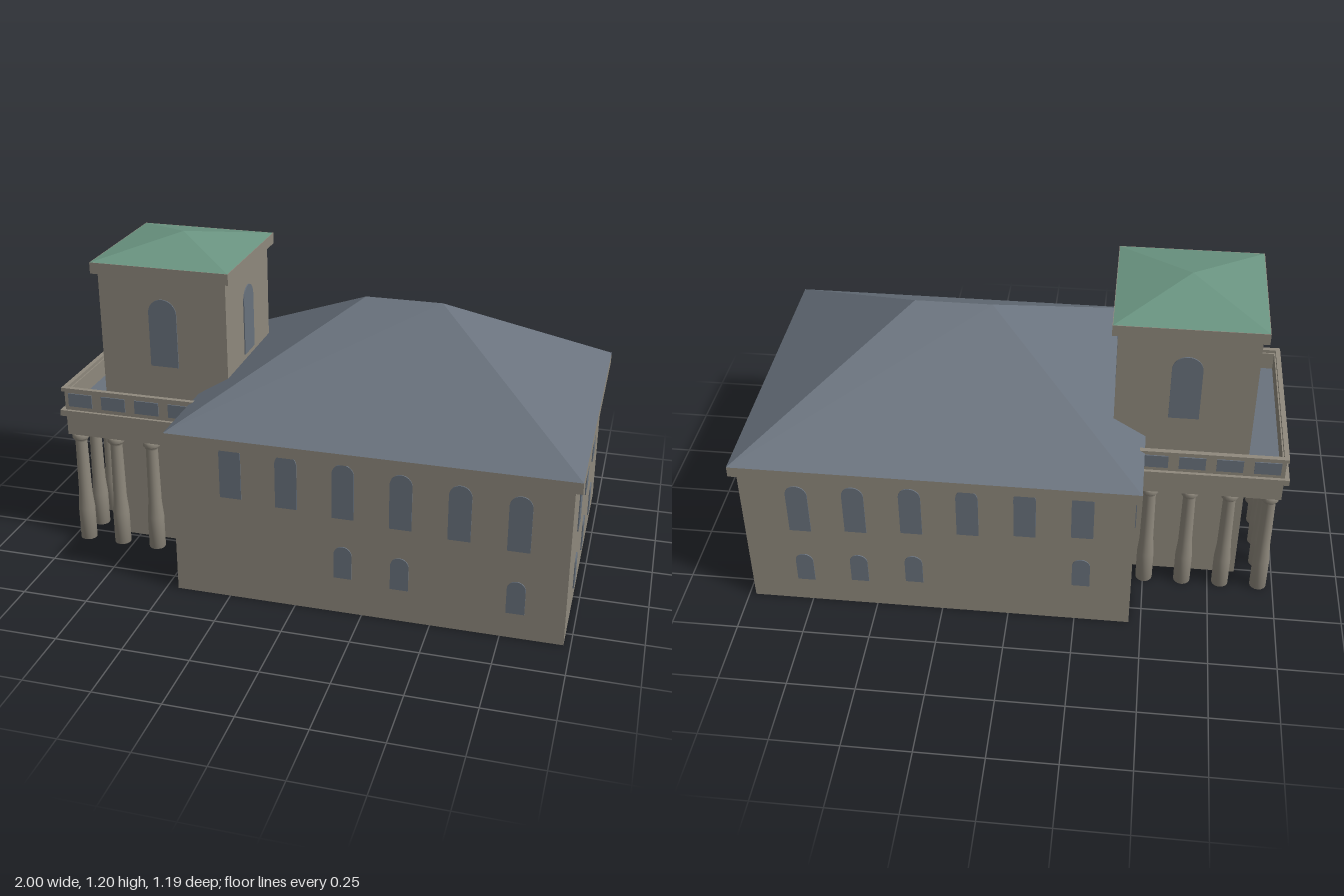
import * as THREE from 'three';

const material = (name, color, side = THREE.FrontSide) => {
  const m = new THREE.MeshStandardMaterial({ color, side });
  m.name = name;
  return m;
};

export function createModel() {
  const stone = material('stone', 0x8f897d, THREE.DoubleSide);
  const slate = material('slate', 0x69727d, THREE.DoubleSide);
  const copper = material('green copper', 0x6a9481);
  const model = new THREE.Group();
  model.name = 'stoneChurch';

  const add = (name, geometry, mat, parent = model) => {
    const mesh = new THREE.Mesh(geometry, mat);
    mesh.name = name;
    parent.add(mesh);
    return mesh;
  };
  const group = (name) => {
    const g = new THREE.Group();
    g.name = name;
    model.add(g);
    return g;
  };

  // Solid block given by its extents
  const blockGeometry = (x0, x1, y0, y1, z0, z1) =>
    new THREE.BoxGeometry(x1 - x0, y1 - y0, z1 - z0)
      .translate((x0 + x1) / 2, (y0 + y1) / 2, (z0 + z1) / 2);
  const block = (name, mat, extents, parent) => add(name, blockGeometry(...extents), mat, parent);

  // Four walls without floor or ceiling
  const walls = (name, extents) => {
    const g = blockGeometry(...extents);
    const index = Array.from(g.index.array);
    g.setIndex([...index.slice(0, 12), ...index.slice(24)]);
    g.clearGroups();
    return add(name, g, stone);
  };

  // Hipped roof with a ridge from r0 to r1 (a pyramid when they are equal)
  const hipRoof = (name, mat, x0, x1, z0, z1, y, r0, r1, top) => {
    const zm = (z0 + z1) / 2;
    const p = [[x0, y, z1], [x1, y, z1], [x1, y, z0], [x0, y, z0], [r0, top, zm], [r1, top, zm]];
    const faces = [[0, 1, 5], [1, 2, 5], [2, 3, 4], [3, 0, 4], [0, 3, 2], [0, 2, 1]];
    if (r0 !== r1) faces.push([0, 5, 4], [2, 4, 5]);
    const g = new THREE.BufferGeometry();
    g.setAttribute('position', new THREE.Float32BufferAttribute(faces.flat().flatMap((i) => p[i]), 3));
    g.computeVertexNormals();
    return add(name, g, mat);
  };

  // Round-headed window plate; x, y, z is the middle of its sill
  const windows = group('windows');
  const archWindow = (name, w, h, x, y, z, turn) => {
    const r = w / 2;
    const s = new THREE.Shape();
    s.moveTo(-r, 0);
    s.lineTo(r, 0);
    s.lineTo(r, h - r);
    s.absarc(0, h - r, r, 0, Math.PI, false);
    s.closePath();
    const g = new THREE.ExtrudeGeometry(s, { depth: 0.004, bevelEnabled: false, curveSegments: 12 });
    const mesh = add(name, g, slate, windows);
    mesh.position.set(x, y, z);
    mesh.rotation.y = turn;
  };

  // Main hall, open underneath
  walls('hallWalls', [-0.455, 0.975, 0, 0.61, -0.575, 0.575]);
  const rect = (Type, x0, x1, z) => new Type([
    new THREE.Vector2(x0, -z), new THREE.Vector2(x1, -z),
    new THREE.Vector2(x1, z), new THREE.Vector2(x0, z),
  ]);
  const ring = rect(THREE.Shape, -0.475, 1, 0.595);
  ring.holes.push(rect(THREE.Path, -0.45, 0.97, 0.57));
  add('hallEaves', new THREE.ExtrudeGeometry(ring, { depth: 0.042, bevelEnabled: false })
    .rotateX(-Math.PI / 2).translate(0, 0.605, 0), stone);
  hipRoof('hallRoof', slate, -0.475, 1, -0.595, 0.595, 0.647, 0.115, 0.405, 1.01);

  // Hall windows on the long sides, stepping down towards +x
  const longSide = (z, turn, shift, lower) => {
    for (let i = 0; i < 6; i++) {
      const x = -0.235 + i * 0.207 + shift;
      archWindow('upperWindow', 0.08, 0.212, x, 0.397 - 0.06 * x, z, turn);
      if (lower.includes(i)) archWindow('lowerWindow', 0.066, 0.128, x, 0.157 - 0.07 * x, z, turn);
    }
  };
  longSide(0.575, 0, 0, [2, 3, 5]);
  longSide(-0.575, Math.PI, -0.035, [0, 3, 4, 5]);

  // Hall windows on the short sides
  for (const z of [-0.285, 0, 0.285]) {
    archWindow('upperWindow', 0.09, 0.243, 0.975, 0.32, z, Math.PI / 2);
    archWindow('lowerWindow', 0.065, 0.13, 0.975, 0.075, z, Math.PI / 2);
  }
  for (const z of [-0.46, 0.46]) archWindow('upperWindow', 0.08, 0.212, -0.455, 0.41, z, -Math.PI / 2);

  // Tower
  const tz = -0.015, tx = -0.605;
  walls('towerWalls', [-0.855, -0.355, 0, 1.1, tz - 0.248, tz + 0.248]);
  block('towerCornice', stone, [-0.875, -0.335, 1.095, 1.138, tz - 0.27, tz + 0.27]);
  hipRoof('towerRoof', copper, -0.873, -0.337, tz - 0.268, tz + 0.268, 1.138, tx, tx, 1.202);
  archWindow('towerWindow', 0.11, 0.267, tx, 0.743, tz + 0.248, 0);
  archWindow('towerWindow', 0.11, 0.267, tx, 0.743, tz - 0.248, Math.PI);
  archWindow('towerWindow', 0.11, 0.267, -0.355, 0.743, tz, Math.PI / 2);

  // Porch beam, cornice and deck
  const pz = -0.01;
  const porch = group('porch');
  block('porchBeam', stone, [-0.982, -0.455, 0.46, 0.545, pz - 0.34, pz + 0.34], porch);
  block('porchCornice', stone, [-1, -0.455, 0.542, 0.566, pz - 0.355, pz + 0.355], porch);
  block('porchDeck', slate, [-0.97, -0.455, 0.566, 0.574, pz - 0.33, pz + 0.33], porch);

  // Parapet with rails and inset panels
  block('frontParapet', stone, [-0.982, -0.967, 0.566, 0.645, pz - 0.343, pz + 0.343], porch);
  block('frontRail', stone, [-0.99, -0.972, 0.643, 0.658, pz - 0.352, pz + 0.352], porch);
  for (let i = 0; i < 5; i++) {
    const z = pz + (i - 2) * 0.135;
    block('parapetPanel', slate, [-0.986, -0.981, 0.582, 0.635, z - 0.047, z + 0.047], porch);
  }
  for (const s of [-1, 1]) {
    const strip = (a, b) => [Math.min(pz + s * a, pz + s * b), Math.max(pz + s * a, pz + s * b)];
    block('sideParapet', stone, [-0.982, -0.455, 0.566, 0.645, ...strip(0.328, 0.343)], porch);
    block('sideRail', stone, [-0.99, -0.455, 0.643, 0.658, ...strip(0.334, 0.352)], porch);
    for (let i = 0; i < 4; i++) {
      const x = -0.918 + i * 0.135;
      block('parapetPanel', slate, [x - 0.048, x + 0.048, 0.582, 0.635, ...strip(0.342, 0.347)], porch);
    }
  }

  // Columns: six across the front, four along each side
  const profile = [
    [0, 0], [0.032, 0], [0.032, 0.135], [0.026, 0.2], [0.023, 0.425],
    [0.029, 0.437], [0.033, 0.44], [0.033, 0.455], [0.028, 0.462], [0, 0.462],
  ].map(([r, y]) => new THREE.Vector2(r, y));
  const columnGeometry = new THREE.LatheGeometry(profile, 16);
  const column = (x, z) => add('column', columnGeometry, stone, porch).position.set(x, 0, z);
  for (let i = 0; i < 6; i++) column(-0.945, pz + (i - 2.5) * 0.124);
  for (let i = 1; i < 4; i++) {
    for (const s of [-1, 1]) column(-0.945 + i * 0.147, pz + s * 0.31);
  }

  return model;
}
